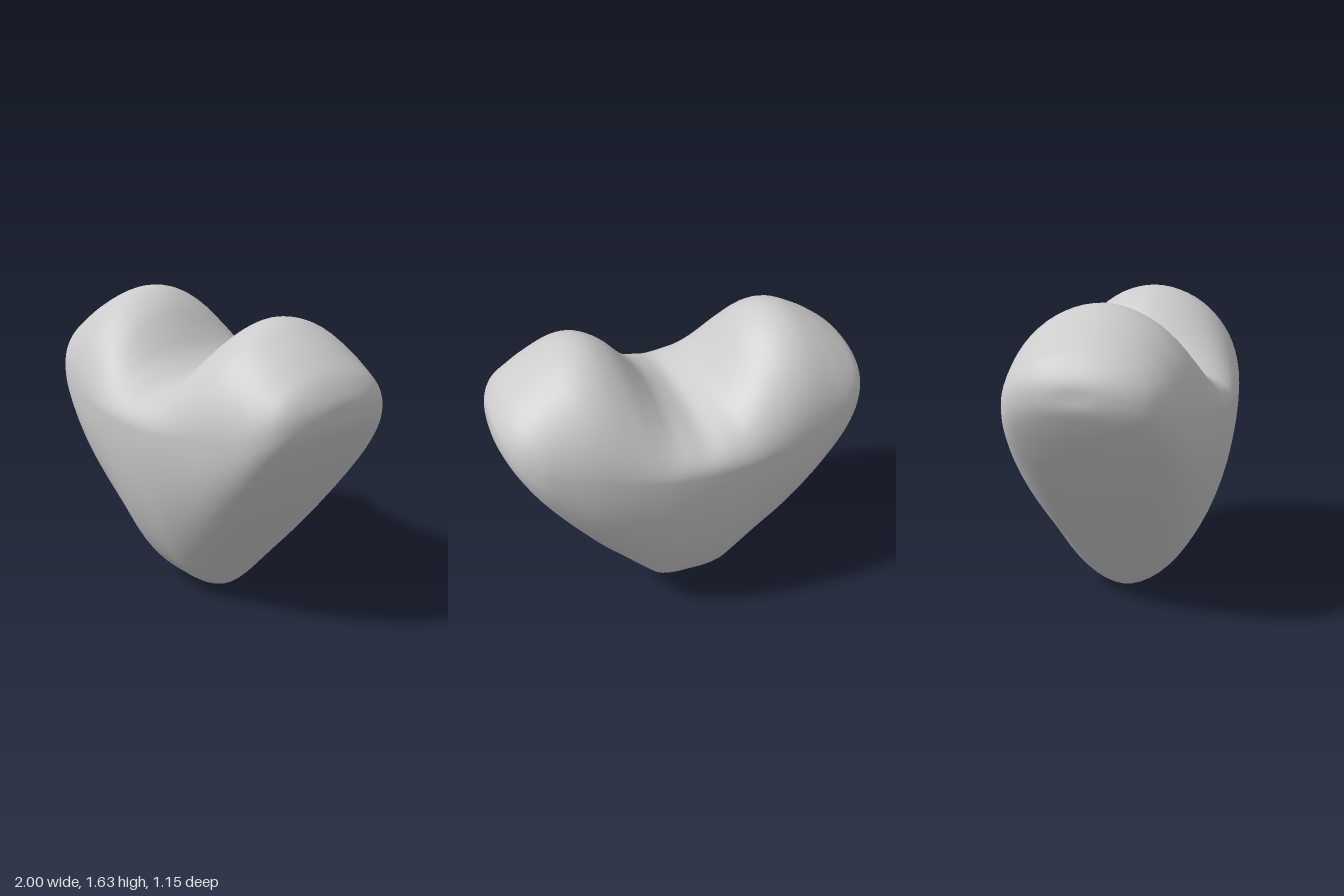
import * as THREE from 'three';
import { mergeVertices } from 'three/addons/utils/BufferGeometryUtils.js';
import { ParametricGeometry } from 'three/addons/geometries/ParametricGeometry.js';

const { smoothstep } = THREE.MathUtils;

// Upright sections from the middle to the side:
// x, bottom, top, half depth, height of widest point, fullness of the upper curve
const SECTIONS = [
  [0, 0, 1.25, 0.573, 1.05, 2.3],
  [0.09, 0, 1.28, 0.571, 1.05, 2.2],
  [0.17, 0.02, 1.335, 0.567, 1.055, 1.95],
  [0.25, 0.095, 1.425, 0.56, 1.06, 1.8],
  [0.36, 0.225, 1.55, 0.545, 1.075, 1.75],
  [0.48, 0.37, 1.62, 0.525, 1.09, 1.85],
  [0.6, 0.53, 1.62, 0.5, 1.1, 1.95],
  [0.74, 0.722, 1.555, 0.46, 1.12, 2],
  [0.84, 0.87, 1.49, 0.42, 1.15, 2],
  [0.92, 1.01, 1.425, 0.355, 1.19, 2.1],
  [0.97, 1.11, 1.36, 0.26, 1.22, 2.1],
  [0.998, 1.18, 1.3, 0.13, 1.24, 2.1],
  [1, 1.24, 1.24, 0, 1.24, 2.1],
];

function createHeartGeometry() {
  const mirrored = SECTIONS.slice(1).reverse().map(([x, ...rest]) => [-x, ...rest]);
  const sections = [...mirrored, ...SECTIONS];
  const curveOf = (start) => new THREE.CatmullRomCurve3(
    sections.map((s) => new THREE.Vector3(...s.slice(start, start + 3))), false, 'catmullrom', 0.5,
  );
  const outline = curveOf(0);
  const swelling = curveOf(3);
  const edge = new THREE.Vector3();
  const swell = new THREE.Vector3();

  // u runs from side to side, v runs round each section from the bottom over the front
  const surface = (u, v, target) => {
    outline.getPoint(u, edge);
    swelling.getPoint(u, swell);
    const { x, y: bottom, z: top } = edge;
    const { x: depth, y: middle, z: upperFullness } = swell;
    const rise = -Math.cos(v * Math.PI * 2);
    const out = Math.sin(v * Math.PI * 2);

    // Pointed towards the tip, flatter along the flanks
    const lowerFullness = 1.84 + 0.66 * smoothstep(Math.abs(x), 0.2, 0.75);
    const power = 2 / (rise > 0 ? upperFullness : lowerFullness);
    const height = rise > 0 ? top - middle : bottom - middle;
    target.set(
      x,
      middle + height * Math.pow(Math.abs(rise), power),
      depth * Math.sign(out) * Math.pow(Math.abs(out), power),
    );
  };

  // Weld the seam and the ends so the shading is continuous
  const geometry = new ParametricGeometry(surface, 96, 64);
  geometry.deleteAttribute('uv');
  geometry.deleteAttribute('normal');
  const welded = mergeVertices(geometry, 1e-5);
  welded.computeVertexNormals();
  return welded;
}

export function createModel() {
  const heart = new THREE.Mesh(
    createHeartGeometry(),
    new THREE.MeshStandardMaterial({ color: 0xcccccc }),
  );
  heart.name = 'heart';

  const group = new THREE.Group();
  group.name = 'heartModel';
  group.add(heart);
  return group;
}
